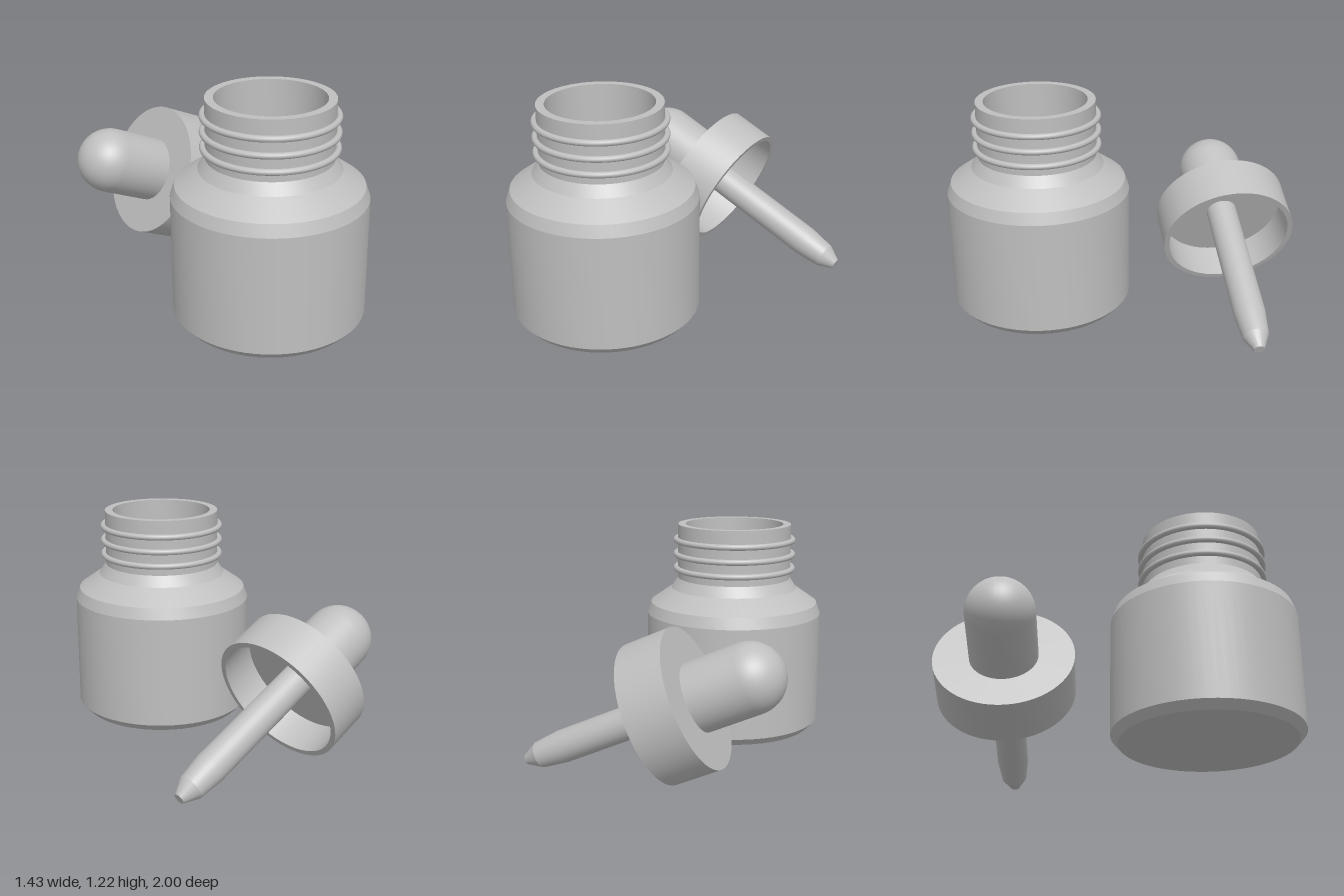
import * as THREE from 'three';
import { toCreasedNormals } from 'three/addons/utils/BufferGeometryUtils.js';

const grey = new THREE.MeshStandardMaterial({ color: 0xbfbfbf });
grey.name = 'plain grey';

// Round part from a [radius, height] profile, with crisp edges between its bands
function turned(name, profile, segments = 64) {
  const points = profile.map(([r, y]) => new THREE.Vector2(r, y));
  const geometry = toCreasedNormals(new THREE.LatheGeometry(points, segments), 0.28);
  const mesh = new THREE.Mesh(geometry, grey);
  mesh.name = name;
  return mesh;
}

function makeBottle() {
  const bottle = new THREE.Group();
  bottle.name = 'bottle';

  // Hollow shell: base, body, shoulder and neck, then back down the inside
  bottle.add(turned('bottleShell', [
    [0, 0], [0.48, 0], [0.52, 0.045], [0.52, 0.69], [0.497, 0.755],
    [0.375, 0.84], [0.335, 0.9], [0.335, 1.22],
    [0.29, 1.22], [0.29, 0.89], [0.335, 0.81], [0.455, 0.725],
    [0.475, 0.68], [0.475, 0.065], [0.455, 0.045], [0, 0.045],
  ]));

  // Screw thread rings around the neck
  for (const y of [0.957, 1.041, 1.127]) {
    const ring = new THREE.Mesh(new THREE.TorusGeometry(0.347, 0.017, 12, 64), grey);
    ring.name = 'threadRing';
    ring.rotation.x = Math.PI / 2;
    ring.position.y = y;
    bottle.add(ring);
  }
  return bottle;
}

function makeDropper() {
  const dropper = new THREE.Group();
  dropper.name = 'dropper';

  // Cap, open at its lower end
  dropper.add(turned('cap', [
    [0, 0.21], [0.355, 0.21], [0.355, 0], [0.385, 0], [0.385, 0.26], [0, 0.26],
  ]));

  // Squeeze bulb with a domed end
  const bulb = [[0.188, 0.26]];
  for (let i = 0; i <= 14; i++) {
    const a = (i / 14) * Math.PI / 2;
    bulb.push([i === 14 ? 0 : 0.188 * Math.cos(a), 0.557 + 0.188 * Math.sin(a)]);
  }
  dropper.add(turned('bulb', bulb, 48));

  // Pipette with a tapered tip
  dropper.add(turned('pipette', [
    [0, -0.788], [0.03, -0.788], [0.073, -0.702], [0.089, -0.557], [0.089, 0.21],
  ], 32));
  return dropper;
}

export function createModel() {
  const model = new THREE.Group();
  model.name = 'dropperBottle';

  const bottle = makeBottle();
  bottle.position.set(-0.19, 0, 0.48);

  // The dropper lies on its cap rim and tip
  const dropper = makeDropper();
  dropper.position.set(-0.02, 0.366, -0.615);
  dropper.rotation.z = THREE.MathUtils.degToRad(65.6);

  model.add(bottle, dropper);
  return model;
}
